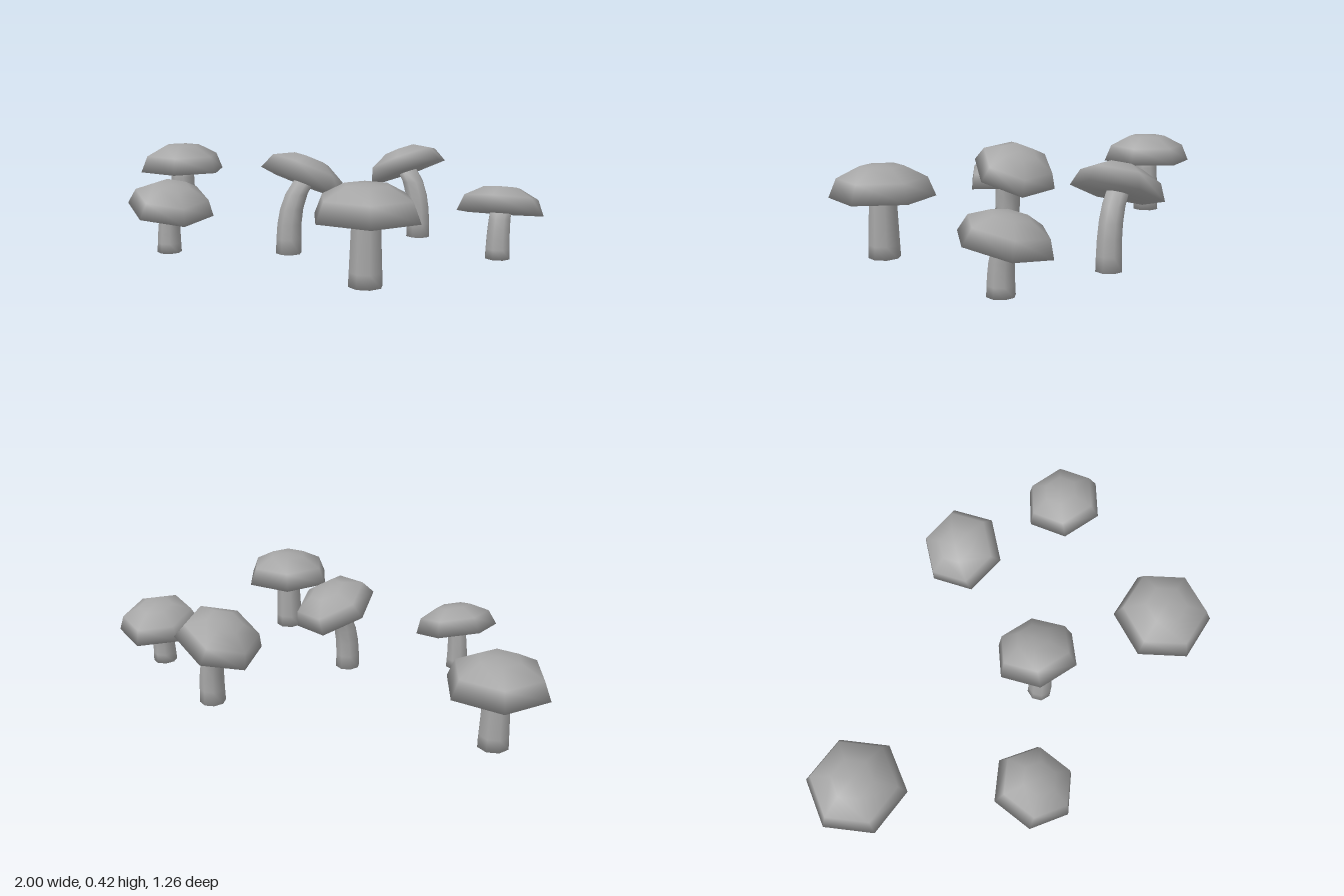
import * as THREE from 'three';
import { mergeVertices } from 'three/addons/utils/BufferGeometryUtils.js';

const material = new THREE.MeshStandardMaterial({ color: 0xa6a6a6 });
const CAP_SIDES = 6;
const STEM_SIDES = 8;

// Each entry: stem base, middle of the cap's rim, the slope of the cap
// along x and z, turn of the hexagon in degrees, cap scale and stem radii
const mushrooms = [
  { name: 'largeMushroomRight', base: [-0.788, -0.155], cap: [-0.788, 0.248, -0.155], slope: [0, 0], turn: 0, size: 1, stem: [0.065, 0.054] },
  { name: 'largeMushroomLeft', base: [0.6, 0.433], cap: [0.6, 0.248, 0.433], slope: [0, 0], turn: 4, size: 1, stem: [0.065, 0.054] },
  { name: 'shortMushroomFront', base: [-0.355, 0.425], cap: [-0.344, 0.183, 0.424], slope: [-0.23, -0.1], turn: 30, size: 0.86, stem: [0.051, 0.041] },
  { name: 'shortMushroomBack', base: [0.834, -0.245], cap: [0.834, 0.183, -0.262], slope: [0.05, 0.21], turn: -22, size: 0.86, stem: [0.053, 0.044] },
  { name: 'bentMushroomMiddle', base: [0.075, 0.16], cap: [0.107, 0.291, 0.108], slope: [-0.217, 0.4], turn: -18, size: 0.88, stem: [0.055, 0.046] },
  { name: 'bentMushroomBack', base: [0.372, -0.45], cap: [0.316, 0.291, -0.456], slope: [0.43, 0.03], turn: -13, size: 0.87, stem: [0.055, 0.046] },
];

// Turned shape with a corner on +x
function lathe(points, sides) {
  const profile = points.map(([r, y]) => new THREE.Vector2(r, y));
  return new THREE.LatheGeometry(profile, sides).rotateY(Math.PI / 2);
}

// Mesh shaded smoothly all round, including across its rims
function smoothPart(name, geometry) {
  geometry.deleteAttribute('uv');
  geometry.deleteAttribute('normal');
  const smooth = mergeVertices(geometry);
  smooth.computeVertexNormals();
  const mesh = new THREE.Mesh(smooth, material);
  mesh.name = name;
  return mesh;
}

// Tapered stem that starts upright and bends towards the cap
function makeStem({ base, cap, stem }) {
  const height = cap[1] + 0.02;
  const points = [[0, 0]];
  for (let i = 0; i <= 5; i++) {
    points.push([THREE.MathUtils.lerp(stem[0], stem[1], i / 5), (height * i) / 5]);
  }
  points.push([0, height]);
  const geometry = lathe(points, STEM_SIDES);
  const pos = geometry.attributes.position;
  for (let i = 0; i < pos.count; i++) {
    const bend = (pos.getY(i) / cap[1]) ** 3.5;
    pos.setX(i, pos.getX(i) + base[0] + (cap[0] - base[0]) * bend);
    pos.setZ(i, pos.getZ(i) + base[1] + (cap[2] - base[1]) * bend);
  }
  return smoothPart('stem', geometry);
}

// Domed hexagonal cap with a flat underside, tilted to its slope
function makeCap({ cap, slope, turn, size }) {
  const profile = [[0, 0], [0.212, 0], [0.18, 0.077], [0.088, 0.124], [0, 0.129]];
  const mesh = smoothPart('cap', lathe(profile, CAP_SIDES));
  const up = new THREE.Vector3(0, 1, 0);
  const normal = new THREE.Vector3(-slope[0], 1, -slope[1]).normalize();
  mesh.quaternion
    .setFromUnitVectors(up, normal)
    .multiply(new THREE.Quaternion().setFromAxisAngle(up, THREE.MathUtils.degToRad(turn)));
  mesh.position.set(...cap);
  mesh.scale.setScalar(size);
  return mesh;
}

export function createModel() {
  const model = new THREE.Group();
  model.name = 'mushroomCluster';
  for (const spec of mushrooms) {
    const mushroom = new THREE.Group();
    mushroom.name = spec.name;
    mushroom.add(makeStem(spec), makeCap(spec));
    model.add(mushroom);
  }
  return model;
}
